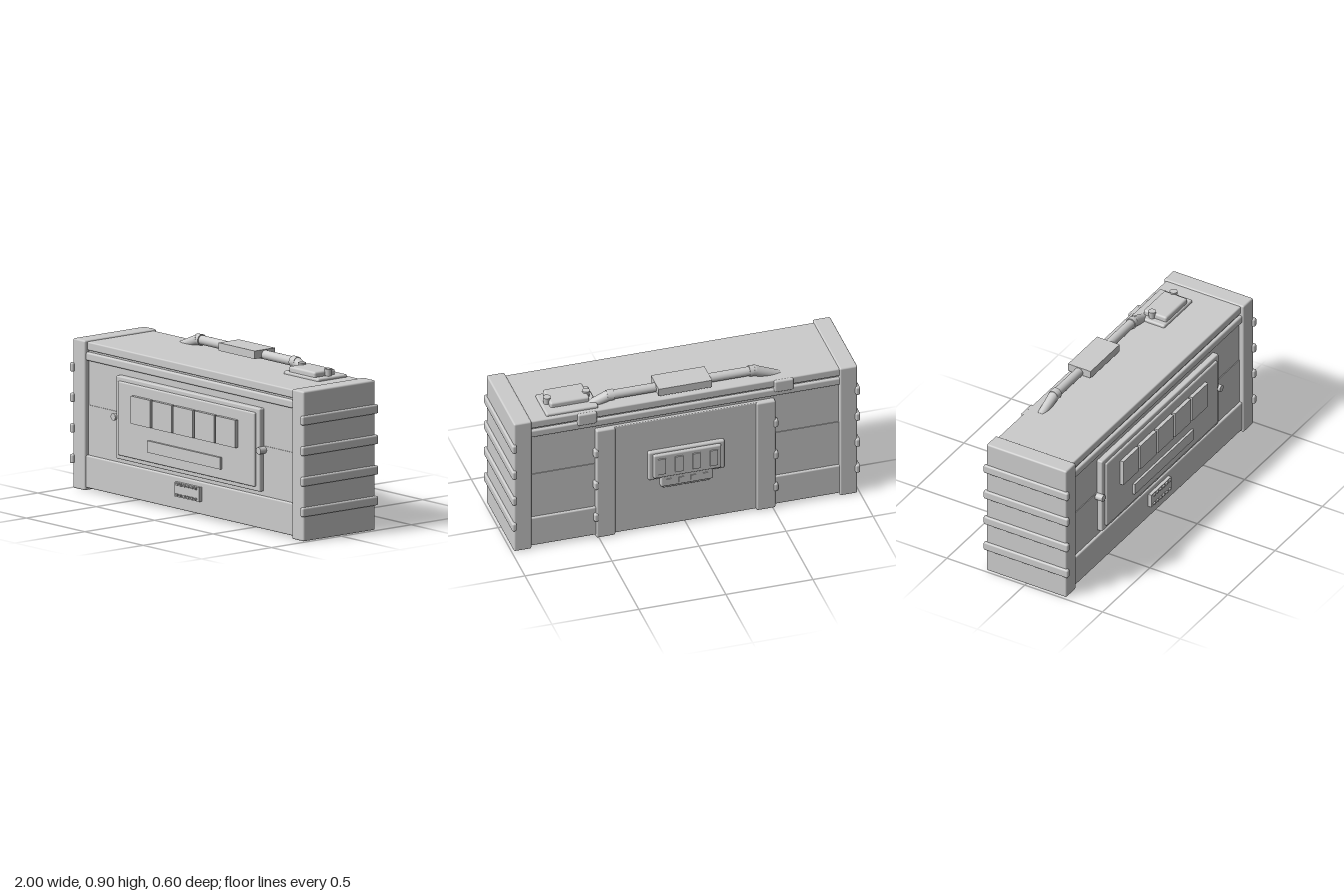
import * as THREE from 'three';
import { RoundedBoxGeometry } from 'three/addons/geometries/RoundedBoxGeometry.js';

export function createModel() {
  const root = new THREE.Group();
  const grey = new THREE.MeshStandardMaterial({ color: 0xcccccc });
  grey.name = 'plain grey';

  const add = (name, geometry) => {
    const mesh = new THREE.Mesh(geometry, grey);
    mesh.name = name;
    root.add(mesh);
    return mesh;
  };
  // Box given by its limits on each axis; r rounds the edges
  const box = (name, [x0, x1], [y0, y1], [z0, z1], r = 0) => {
    const w = x1 - x0, h = y1 - y0, d = z1 - z0;
    const mesh = add(name, r
      ? new RoundedBoxGeometry(w, h, d, 2, Math.min(r, w * 0.49, h * 0.49, d * 0.49))
      : new THREE.BoxGeometry(w, h, d));
    mesh.position.set((x0 + x1) / 2, (y0 + y1) / 2, (z0 + z1) / 2);
    return mesh;
  };
  // Limits on x, mirrored for side -1
  const side = (s, a, b) => (s > 0 ? [a, b] : [-b, -a]);

  // Body: recessed core, slightly prouder lower wall, rails and lid
  box('core', [-0.9, 0.9], [0.02, 0.8], [-0.23, 0.23]);
  box('lowerWall', [-0.9, 0.9], [0.02, 0.48], [-0.234, 0.234]);
  box('bottomRail', [-0.9, 0.9], [0.018, 0.2], [-0.248, 0.25], 0.008);
  box('topRail', [-0.9, 0.9], [0.73, 0.776], [-0.248, 0.25], 0.01);
  box('lid', [-0.9, 0.9], [0.786, 0.834], [-0.243, 0.24], 0.008);

  // End caps with wrapping ribs
  for (const s of [1, -1]) {
    box('endCap', side(s, 0.885, 0.987), [0.003, 0.842], [-0.255, 0.26], 0.01);
    for (let i = 0; i < 4; i++) {
      const y = 0.168 + i * 0.171;
      box('endRib', side(s, 0.973, 1), [y - 0.026, y + 0.026], [-0.268, 0.275], 0.01);
    }
  }

  // Front panel in two steps, with windows and a label strip
  box('frontPanelRim', [-0.615, 0.615], [0.225, 0.69], [0.22, 0.264], 0.008);
  box('frontPanel', [-0.585, 0.585], [0.25, 0.665], [0.23, 0.277], 0.008);
  for (let i = -2; i <= 2; i++) {
    const x = i * 0.182;
    box('window', [x - 0.083, x + 0.083], [0.45, 0.605], [0.27, 0.298]);
  }
  box('labelStrip', [-0.315, 0.31], [0.308, 0.374], [0.27, 0.291]);
  for (const s of [1, -1]) {
    const knob = add('panelKnob', new THREE.CylinderGeometry(0.02, 0.02, 0.05, 16));
    knob.rotation.x = Math.PI / 2;
    knob.position.set(s * 0.622, 0.458, 0.253);
  }

  // Small plate on the bottom rail with a row of studs at both edges
  box('railPlate', [-0.107, 0.105], [0.092, 0.172], [0.24, 0.27]);
  for (let i = 0; i < 6; i++) {
    const x = -0.08 + i * 0.032;
    for (const y of [0.1, 0.158])
      box('railStud', [x - 0.008, x + 0.008], [y, y + 0.01], [0.265, 0.28]);
  }

  // Back panel, and straps with side lugs that run under the body
  box('backPanel', [-0.42, 0.42], [0.012, 0.71], [-0.25, -0.2], 0.005);
  box('underPlate', [-0.42, 0.42], [0.012, 0.04], [-0.245, 0.1]);
  for (const s of [1, -1]) {
    box('backStrap', side(s, 0.405, 0.515), [0.004, 0.71], [-0.262, -0.2], 0.01);
    box('underStrap', side(s, 0.405, 0.515), [0.004, 0.04], [-0.25, 0.1], 0.008);
    for (const y of [0.14, 0.35, 0.56])
      box('strapLug', side(s, 0.503, 0.529), [y - 0.025, y + 0.025], [-0.27, -0.23], 0.01);
    box('lidClip', side(s, 0.51, 0.62), [0.758, 0.832], [-0.258, -0.22], 0.01);
  }

  // Back latch plate with raised bars and a toothed lower tab
  box('latchBase', [-0.22, 0.22], [0.33, 0.515], [-0.272, -0.24], 0.012);
  box('latchFace', [-0.195, 0.195], [0.348, 0.5], [-0.29, -0.25], 0.01);
  box('latchTab', [-0.15, 0.15], [0.28, 0.36], [-0.28, -0.24], 0.008);
  box('latchTabBase', [-0.135, 0.135], [0.262, 0.33], [-0.264, -0.24], 0.006);
  for (let i = 0; i < 4; i++) {
    const x = -0.15 + i * 0.1;
    box('latchBar', [x - 0.022, x + 0.022], [0.375, 0.475], [-0.297, -0.28]);
    box('latchTooth', [x * 0.7 - 0.015, x * 0.7 + 0.015], [0.3, 0.33], [-0.285, -0.27]);
  }

  // Carrying handle: bar, collars, sloping tapered ends and grip
  const hz = -0.165, hy = 0.868;
  const rod = (name, a, b, r0, r1) => {
    const dir = b.clone().sub(a);
    const mesh = add(name, new THREE.CylinderGeometry(r1, r0, dir.length(), 20));
    mesh.position.copy(a).add(b).multiplyScalar(0.5);
    mesh.quaternion.setFromUnitVectors(new THREE.Vector3(0, 1, 0), dir.normalize());
  };
  const at = (x, y) => new THREE.Vector3(x, y, hz);
  rod('handleBar', at(-0.42, hy), at(0.42, hy), 0.026, 0.026);
  for (const s of [1, -1]) {
    rod('handleCollar', at(s * 0.39, hy), at(s * 0.43, hy), 0.032, 0.03);
    rod('handleEnd', at(s * 0.41, hy + 0.002), at(s * 0.56, 0.815), 0.031, 0.024);
  }
  box('handleGrip', [-0.157, 0.15], [0.853, 0.898], [-0.235, -0.09]);

  // Top hatch with two round latches
  box('hatchBase', [0.49, 0.79], [0.825, 0.85], [-0.22, -0.01], 0.01);
  box('hatchCover', [0.525, 0.75], [0.84, 0.88], [-0.168, -0.018], 0.012);
  for (const x of [0.53, 0.755]) {
    const latch = add('hatchLatch', new THREE.CylinderGeometry(0.022, 0.018, 0.05, 16));
    latch.position.set(x, 0.865, -0.112);
  }
  return root;
}
